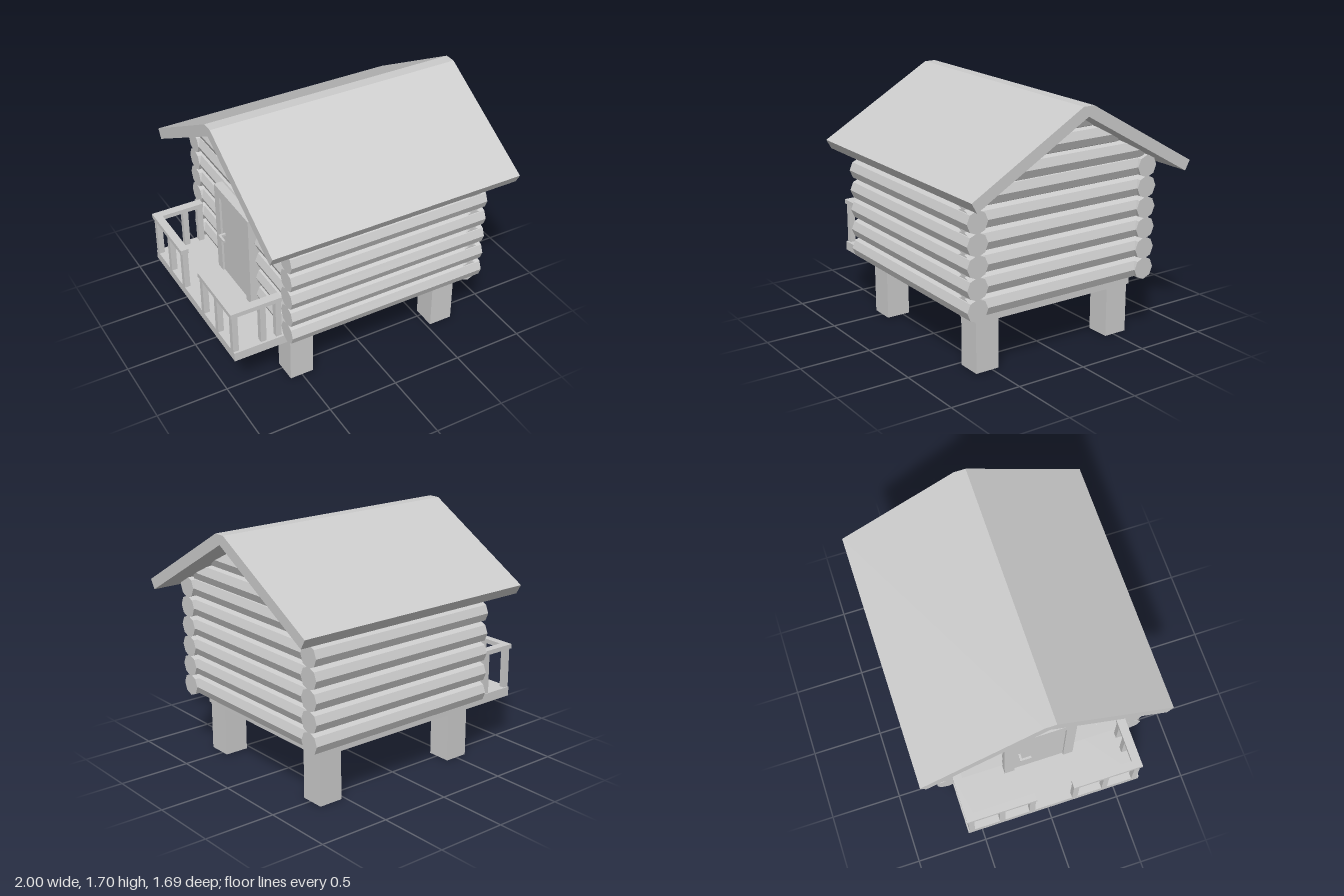
import * as THREE from 'three';

export function createModel() {
  const root = new THREE.Group();
  const mat = new THREE.MeshStandardMaterial({ color: 0xcccccc, flatShading: true });
  const openMat = mat.clone();
  openMat.side = THREE.DoubleSide;

  const add = (name, geo, parent = root, material = mat) => {
    const m = new THREE.Mesh(geo, material);
    m.name = name;
    parent.add(m);
    return m;
  };
  const group = (name) => {
    const g = new THREE.Group();
    g.name = name;
    root.add(g);
    return g;
  };
  // Box given by its limits on each axis
  const box = (name, x0, x1, y0, y1, z0, z1, parent) => {
    const m = add(name, new THREE.BoxGeometry(x1 - x0, y1 - y0, z1 - z0), parent);
    m.position.set((x0 + x1) / 2, (y0 + y1) / 2, (z0 + z1) / 2);
    return m;
  };

  // Floor platform and four legs, open underneath
  box('platform', -0.99, 0.71, 0.345, 0.41, -0.614, 0.63);
  const legs = group('legs');
  for (const x of [-0.5, 0.615]) for (const z of [-0.517, 0.535]) {
    const geo = new THREE.CylinderGeometry(0.17 / Math.SQRT2, 0.17 / Math.SQRT2, 0.348, 4, 1, true);
    geo.rotateY(Math.PI / 4);
    add('leg', geo, legs, openMat).position.set(x, 0.174, z);
  }

  // Eight-sided logs
  const R = 0.077, STEP = 0.1415, FIRST = 0.482;
  const sideWalls = group('sideWallLogs');
  const endWalls = group('endWallLogs');
  const logX = (y, z) => {
    const geo = new THREE.CylinderGeometry(R, R, 1.46, 8);
    geo.rotateZ(Math.PI / 2);
    add('sideLog', geo, sideWalls).position.set(0.09, y, z);
  };
  // Ends of logs along z are trimmed to stay inside the roof slope
  const logZ = (x, y, z0, z1) => {
    const geo = new THREE.CylinderGeometry(R, R, z1 - z0, 8);
    geo.rotateX(Math.PI / 2).translate(x, y, (z0 + z1) / 2);
    const p = geo.attributes.position;
    for (let i = 0; i < p.count; i++) {
      const limit = Math.max(0, (1.665 - p.getY(i)) / 0.577);
      p.setZ(i, THREE.MathUtils.clamp(p.getZ(i), -limit, limit));
    }
    geo.computeVertexNormals();
    add('endLog', geo, endWalls);
  };
  for (let i = 0; i < 6; i++) {
    const y = FIRST + i * STEP;
    logX(y, 0.686);
    logX(y, -0.645);
    logZ(0.735, y, -0.664, 0.736);
    logZ(-0.56, y, -0.63, 0.66);
  }
  // Gable logs
  for (const x of [0.735, -0.56])
    for (const [y, h] of [[1.305, 0.64], [1.44, 0.42], [1.573, 0.213]]) logZ(x, y, -h, h);

  // Pitched roof slab with a narrow flat ridge
  const profile = [[0, 1.637], [0.81, 1.175], [0.847, 1.24], [0.04, 1.703],
    [-0.04, 1.703], [-0.847, 1.24], [-0.81, 1.175]];
  const roofShape = new THREE.Shape(profile.map(([z, y]) => new THREE.Vector2(z, y)));
  const roof = new THREE.ExtrudeGeometry(roofShape, { depth: 1.81, bevelEnabled: false });
  roof.rotateY(Math.PI / 2);
  add('roof', roof).position.x = -0.81;

  // Door: frame, recessed leaf and lever handle
  const door = group('door');
  box('doorHead', -0.68, -0.54, 1.02, 1.09, -0.25, 0.25, door);
  for (const s of [-1, 1]) {
    const a = s * 0.25, b = s * 0.18;
    box('doorJamb', -0.68, -0.54, 0.41, 1.02, Math.min(a, b), Math.max(a, b), door);
  }
  box('doorLeaf', -0.665, -0.55, 0.41, 1.02, -0.18, 0.18, door);
  box('handleStem', -0.71, -0.66, 0.728, 0.744, -0.15, -0.134, door);
  box('handleLever', -0.715, -0.7, 0.728, 0.744, -0.15, -0.07, door);

  // Porch railing, one L-shaped run on each side of the steps opening
  const railing = group('railing');
  for (const s of [-1, 1]) {
    const span = (a, b) => [Math.min(s * a, s * b) + 0.004, Math.max(s * a, s * b) + 0.004];
    box('frontRail', -1, -0.945, 0.695, 0.727, ...span(0.13, 0.62), railing);
    box('sideRail', -0.945, -0.64, 0.695, 0.727, ...span(0.56, 0.62), railing);
    for (const z of [0.59, 0.37, 0.155])
      box('frontPost', -0.99, -0.95, 0.41, 0.695, ...span(z - 0.02, z + 0.02), railing);
    for (const x of [-0.772, -0.662])
      box('sidePost', x - 0.02, x + 0.02, 0.41, 0.695, ...span(0.57, 0.61), railing);
  }
  return root;
}
